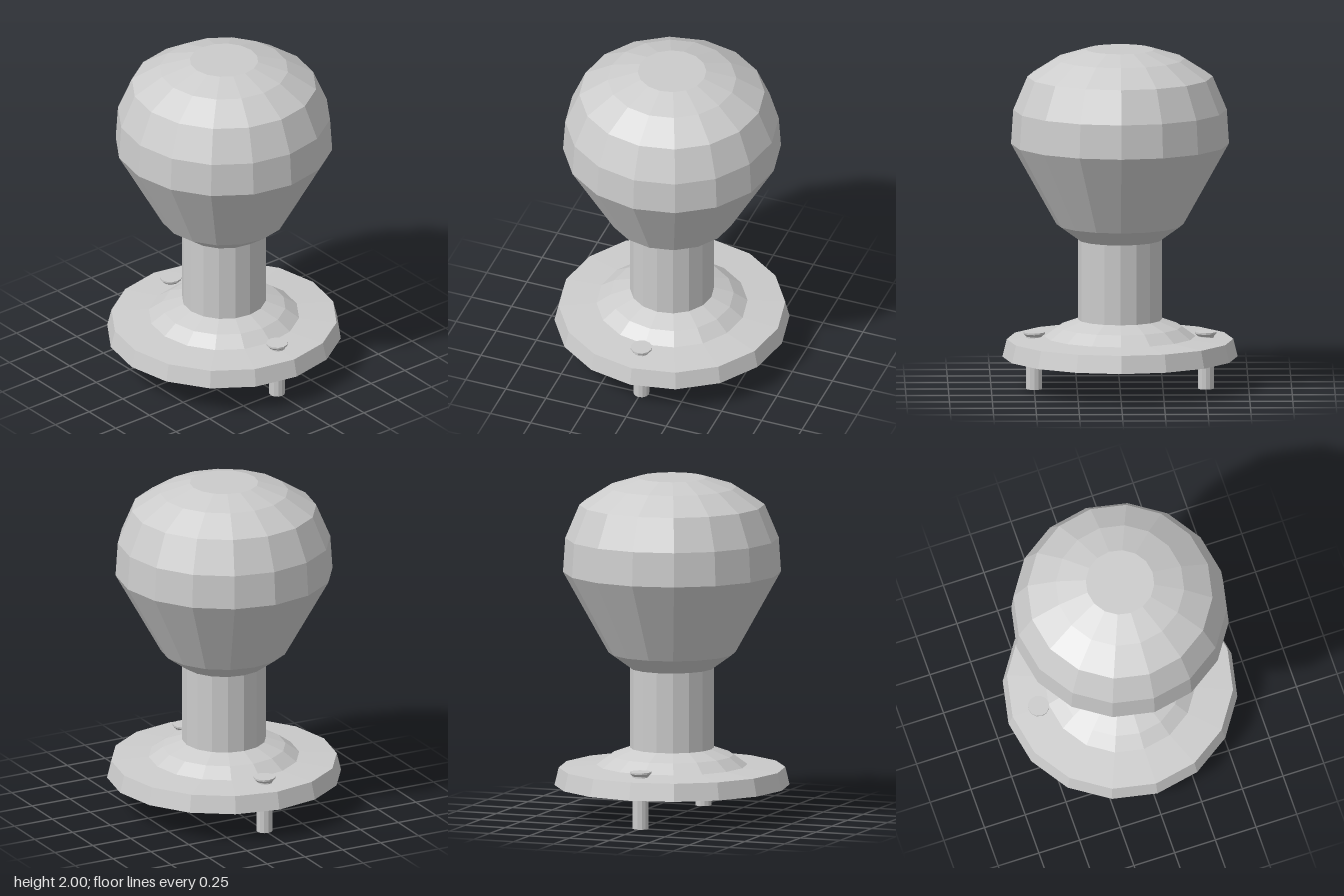
import * as THREE from 'three';

const material = new THREE.MeshStandardMaterial({ color: 0xcccccc, flatShading: true });

// Faceted turned part from [radius, y] pairs, listed bottom to top
function turned(name, profile, sides = 16) {
  const points = profile.map(([r, y]) => new THREE.Vector2(r, y));
  const mesh = new THREE.Mesh(new THREE.LatheGeometry(points, sides), material);
  mesh.name = name;
  return mesh;
}

export function createModel() {
  const model = new THREE.Group();
  model.name = 'doorKnob';

  // Mounting plate with a raised collar around the neck
  model.add(turned('mountingPlate', [
    [0, 0.19], [0.685, 0.19], [0.66, 0.293], [0.44, 0.31], [0.36, 0.368], [0.245, 0.41],
  ]));

  // Straight neck
  model.add(turned('neck', [[0.245, 0.41], [0.245, 0.88]]));

  // Grip: flared underside, widest band and rounded crown
  model.add(turned('knob', [
    [0.245, 0.88], [0.37, 0.97], [0.635, 1.445], [0.622, 1.645],
    [0.54, 1.84], [0.375, 1.945], [0.2, 2], [0, 2],
  ]));

  // Two screws passing through the plate, front and back
  for (const side of [1, -1]) {
    const screw = new THREE.Group();
    screw.name = side > 0 ? 'frontScrew' : 'backScrew';
    screw.add(
      turned('screwShaft', [[0, 0], [0.047, 0], [0.047, 0.31]], 12),
      turned('screwHead', [[0, 0.305], [0.042, 0.305], [0.063, 0.325], [0.063, 0.335], [0, 0.335]], 12),
    );
    screw.position.z = 0.5 * side;
    model.add(screw);
  }
  return model;
}
